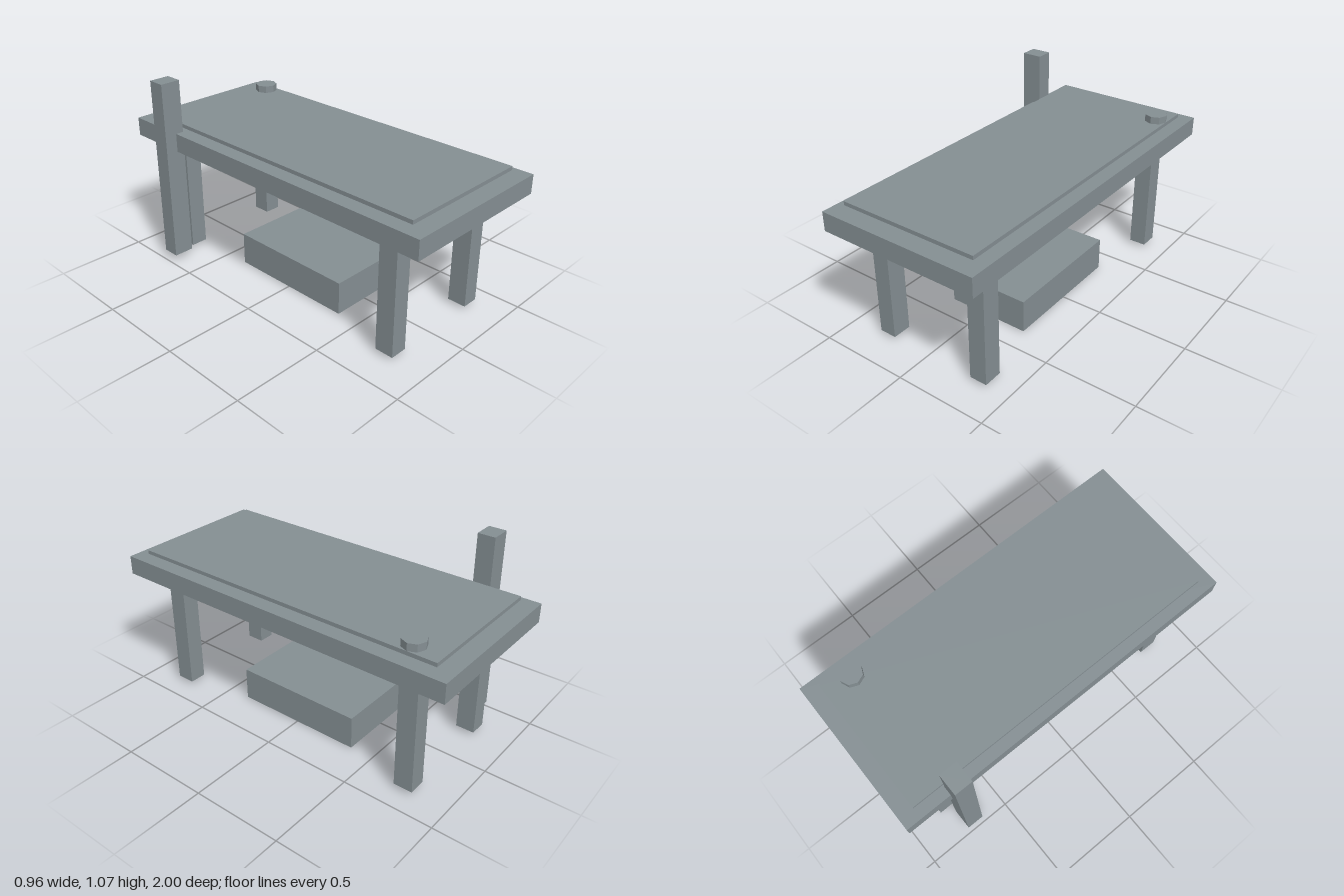
import * as THREE from 'three';

export function createModel() {
  const model = new THREE.Group();
  const grey = new THREE.MeshStandardMaterial({ color: 0x848e92 });
  grey.name = 'slate grey';

  // Box given by its extents on each axis
  function box(name, [x0, x1], [y0, y1], [z0, z1]) {
    const mesh = new THREE.Mesh(new THREE.BoxGeometry(x1 - x0, y1 - y0, z1 - z0), grey);
    mesh.position.set((x0 + x1) / 2, (y0 + y1) / 2, (z0 + z1) / 2);
    mesh.name = name;
    model.add(mesh);
  }

  // Table top with a thin panel hovering just above it
  box('tableTop', [-0.411, 0.479], [0.671, 0.775], [-1, 1]);
  box('topPanel', [-0.352, 0.417], [0.791, 0.812], [-0.916, 0.918]);

  // Four legs
  for (const [side, x] of [['right', -0.263], ['left', 0.33]]) {
    for (const [end, z] of [['Front', 0.762], ['Back', -0.759]]) {
      box(side + end + 'Leg', [x - 0.048, x + 0.048], [0.02, 0.673], [z - 0.052, z + 0.052]);
    }
  }

  // Upright post at the back right edge
  box('sidePost', [-0.479, -0.365], [0.044, 1.068], [-0.742, -0.645]);

  // Block on the floor below the table
  box('floorBlock', [-0.203, 0.267], [0, 0.184], [-0.366, 0.37]);

  // Eight-sided knob on the panel
  const knobGeometry = new THREE.CylinderGeometry(0.062, 0.062, 0.041, 8).toNonIndexed();
  knobGeometry.computeVertexNormals();
  const knob = new THREE.Mesh(knobGeometry, grey);
  knob.position.set(0.355, 0.8315, -0.761);
  knob.name = 'knob';
  model.add(knob);

  return model;
}
